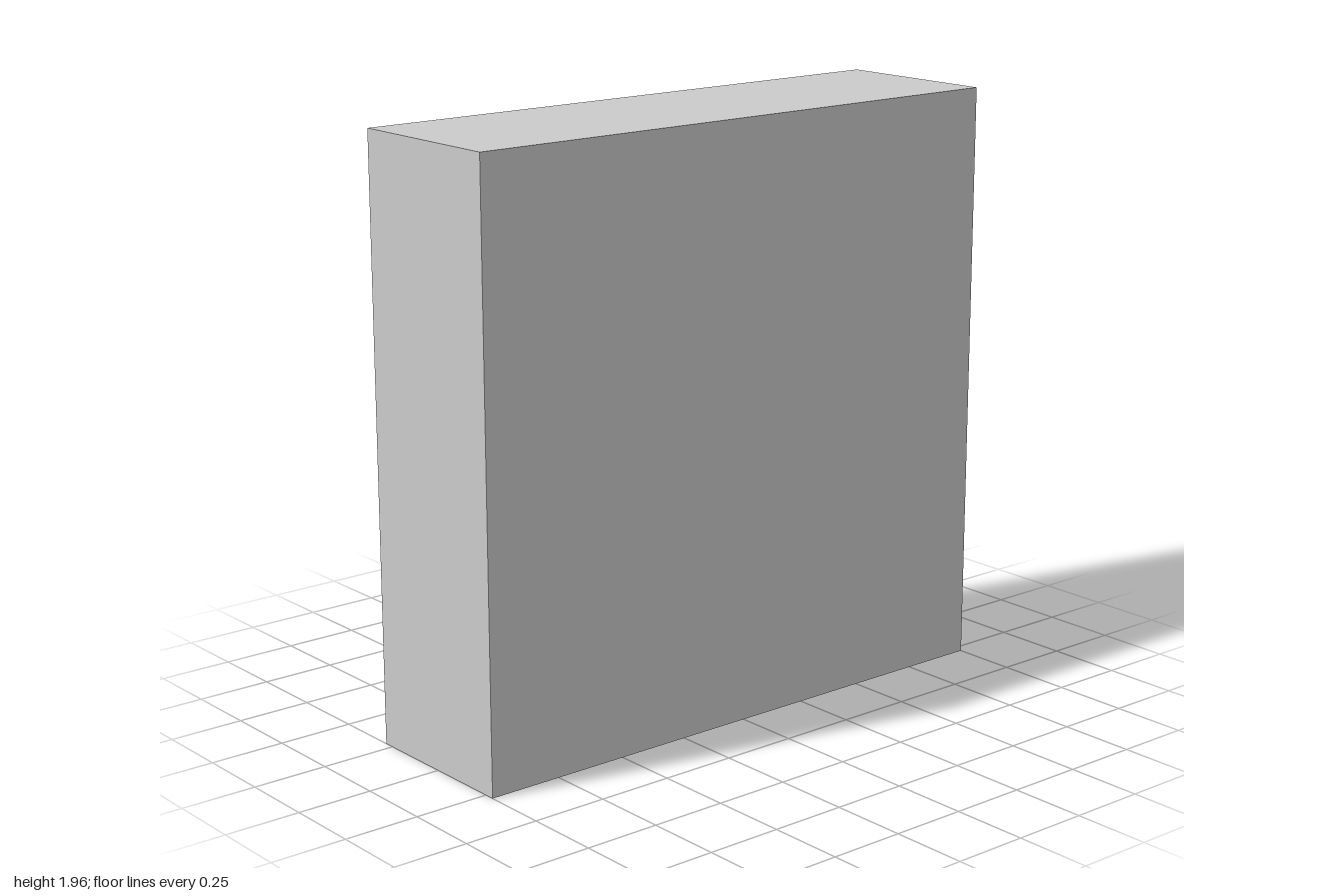
import * as THREE from 'three';

const WIDTH = 2, HEIGHT = 1.955, DEPTH = 0.568;   // along z, y, x
const SIDE = 0.07, TOP = 0.035, BASE = 0.082, BACK = 0.03;
const SHELF = 0.035, SETBACK = 0.042;

export function createModel() {
  const group = new THREE.Group();
  group.name = 'bookcase';
  const material = new THREE.MeshStandardMaterial({ color: 0xcccccc });

  const add = (name, geometry, x, y) => {
    const mesh = new THREE.Mesh(geometry, material);
    mesh.name = name;
    mesh.position.set(x, y, 0);
    group.add(mesh);
  };

  // Outer frame: sides, top and base in one, open towards -x
  const rect = (path, z, y0, y1) =>
    path.moveTo(-z, y0).lineTo(z, y0).lineTo(z, y1).lineTo(-z, y1).closePath();
  const outline = new THREE.Shape();
  rect(outline, WIDTH / 2, 0, HEIGHT);
  const opening = new THREE.Path();
  rect(opening, WIDTH / 2 - SIDE, BASE, HEIGHT - TOP);
  outline.holes.push(opening);
  const frame = new THREE.ExtrudeGeometry(outline, { depth: DEPTH - BACK, bevelEnabled: false });
  frame.rotateY(Math.PI / 2);
  add('frame', frame, -DEPTH / 2, 0);

  // Back panel closing the +x side
  add('backPanel', new THREE.BoxGeometry(BACK, HEIGHT, WIDTH), DEPTH / 2 - BACK / 2, HEIGHT / 2);

  // Three shelves, set back from the open side
  const shelfDepth = DEPTH - BACK - SETBACK;
  for (let i = 0; i < 3; i++) {
    add(`shelf${i + 1}`, new THREE.BoxGeometry(shelfDepth, SHELF, WIDTH - 2 * SIDE),
      -DEPTH / 2 + SETBACK + shelfDepth / 2, 0.543 + i * 0.472 - SHELF / 2);
  }
  return group;
}
